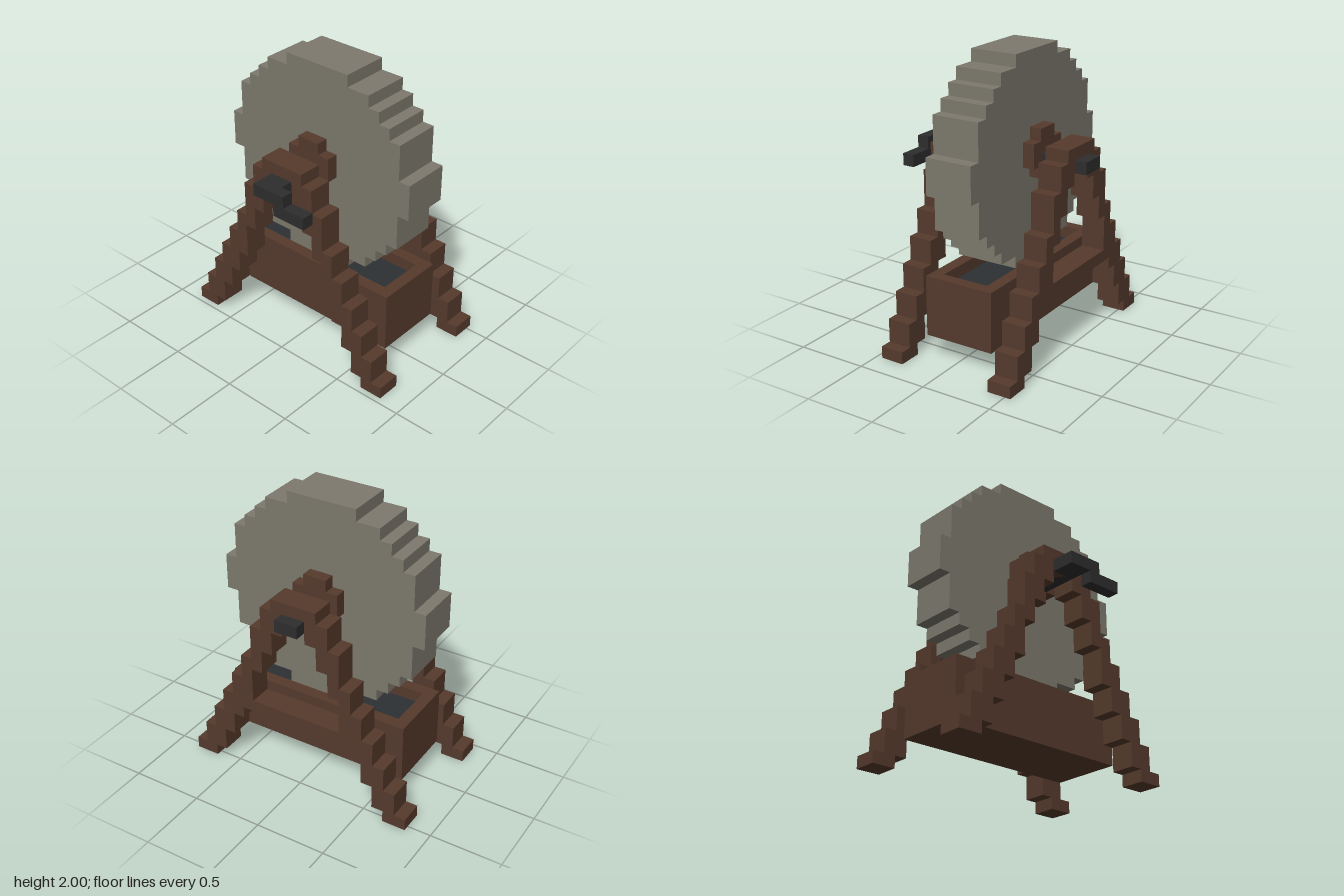
import * as THREE from 'three';

const U = 1 / 12; // one block

const material = (name, color) => {
  const m = new THREE.MeshStandardMaterial({ color });
  m.name = name;
  return m;
};

// Right-hand stair edge going upwards: rows are [halfWidth, topY]
function stairs(rows, startY) {
  const points = [];
  let y = startY;
  for (const [half, top] of rows) {
    points.push([half, y], [half, top]);
    y = top;
  }
  return points;
}

const mirrored = (points) => points.map(([x, y]) => [-x, y]).reverse();

const toShape = (points) =>
  new THREE.Shape(points.map(([x, y]) => new THREE.Vector2(x * U, y * U)));

export function createModel() {
  const group = new THREE.Group();
  group.name = 'grindstone';
  const wood = material('dark wood', 0x553a2c);
  const stone = material('grey stone', 0x7d796d);
  const iron = material('dark iron', 0x2d2d2d);
  const water = material('dark water', 0x2c3133);

  const add = (name, geometry, mat) => {
    const mesh = new THREE.Mesh(geometry, mat);
    mesh.name = name;
    group.add(mesh);
    return mesh;
  };

  const box = (name, mat, x0, x1, y0, y1, z0, z1) => {
    const g = new THREE.BoxGeometry((x1 - x0) * U, (y1 - y0) * U, (z1 - z0) * U);
    add(name, g, mat).position.set(((x0 + x1) / 2) * U, ((y0 + y1) / 2) * U, ((z0 + z1) / 2) * U);
  };

  const slab = (name, mat, shape, z0, z1) => {
    const g = new THREE.ExtrudeGeometry(shape, { depth: (z1 - z0) * U, bevelEnabled: false });
    add(name, g, mat).position.z = z0 * U;
  };

  // Stepped round wheel
  const rim = stairs([[3, 8], [5, 9], [6, 10], [7, 11], [8, 14], [9, 17],
    [8, 20], [7, 21], [6, 22], [5, 23], [3, 24]], 7);
  slab('wheel', stone, toShape([...rim, ...mirrored(rim)]), -2.5, 1.5);

  // Wooden hubs on both wheel faces
  const hub = stairs([[1, 15], [2, 17], [1, 18]], 14);
  const hubShape = toShape([...hub, ...mirrored(hub)]);
  slab('frontHub', wood, hubShape, 1.5, 2.5);
  slab('backHub', wood, hubShape, -3.5, -2.5);

  // Stepped A-frames
  const outer = stairs([[10, 1], [9, 3], [8, 5], [7, 7], [6, 9], [5, 11],
    [4, 14], [3, 16], [2, 17]], 0);
  const inner = stairs([[8, 1], [7, 3], [6, 5], [5, 7], [4, 10], [3, 12],
    [2, 14], [1, 15]], 0);
  const frame = toShape([...outer, ...mirrored(outer),
    ...mirrored(inner).reverse(), ...inner.slice().reverse()]);
  slab('frontFrame', wood, frame, 3.5, 5.5);
  slab('backFrame', wood, frame, -6.5, -4.5);
  box('backCrossbar', wood, -5, 5, 6, 7, -6.5, -4.5);

  // Axle and stepped crank
  box('axle', iron, -1, 1, 15, 16, -7.5, 7.5);
  box('crankArm', iron, 1, 2, 15, 16, 6.5, 7.5);
  box('crankHandle', iron, 1, 4, 14, 15, 6.5, 7.5);

  // Water trough
  box('troughFloor', wood, -8, 8, 2, 3, -3.5, 2.5);
  box('troughFrontWall', wood, -8, 8, 3, 7, 1.5, 2.5);
  box('troughBackWall', wood, -8, 8, 3, 7, -3.5, -2.5);
  for (const [name, x] of [['troughLeftWall', 7], ['troughRightWall', -8]]) {
    box(name, wood, x, x + 1, 3, 7, -2.5, 1.5);
  }
  box('water', water, -7, 7, 3, 6, -2.5, 1.5);

  return group;
}
